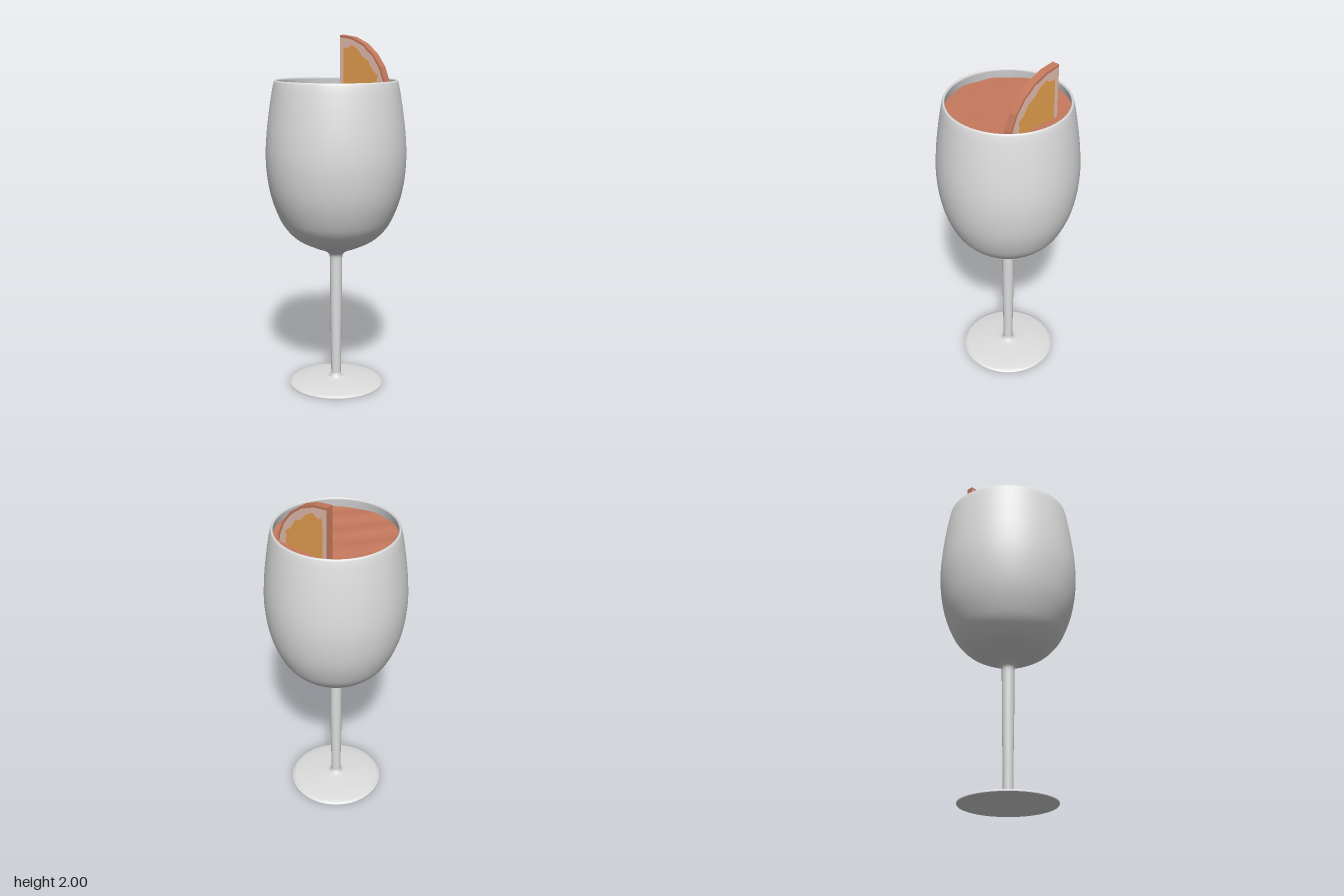
import * as THREE from 'three';

const mat = (name, color, extra = {}) => {
  const m = new THREE.MeshStandardMaterial({ color, ...extra });
  m.name = name;
  return m;
};
const v2 = (list) => list.map(([x, y]) => new THREE.Vector2(x, y));

export function createModel() {
  const root = new THREE.Group();
  root.name = 'wineGlassDrink';
  const glass = mat('glass', 0xdedede);
  const drink = mat('drinkAndRind', 0xc67a5e);
  const pith = mat('pith', 0xe4bcae);
  const flesh = mat('flesh', 0xe4a04e);

  const add = (parent, name, geometry, material) => {
    const mesh = new THREE.Mesh(geometry, material);
    mesh.name = name;
    parent.add(mesh);
    return mesh;
  };
  const spline = (list, n) => new THREE.SplineCurve(v2(list)).getPoints(n);

  // Foot: flat underside and gently domed top
  add(root, 'footUnderside', new THREE.CircleGeometry(0.27, 64).rotateX(Math.PI / 2), glass);
  add(root, 'footTop', new THREE.LatheGeometry(v2([
    [0.27, 0], [0.272, 0.008], [0.25, 0.016], [0.17, 0.026], [0.08, 0.031], [0.045, 0.034], [0.032, 0.042], [0.028, 0.06],
  ]), 64), glass);

  // Stem, widening slightly towards the bowl
  add(root, 'stem', new THREE.LatheGeometry(v2([
    [0.028, 0.06], [0.03, 0.25], [0.034, 0.5], [0.035, 0.74],
  ]), 32), glass);

  // Bowl: outer skin, rounded rim and inner wall
  const outer = spline([
    [0.035, 0.74], [0.04, 0.772], [0.07, 0.797], [0.13, 0.82], [0.22, 0.866], [0.285, 0.93], [0.325, 1.0], [0.362, 1.1],
    [0.384, 1.21], [0.393, 1.33], [0.387, 1.46], [0.37, 1.6], [0.352, 1.71], [0.342, 1.753],
  ], 56);
  const inner = spline([
    [0.328, 1.753], [0.338, 1.70], [0.358, 1.6], [0.378, 1.4], [0.37, 1.2], [0.31, 1.0], [0.2, 0.88], [0.001, 0.83],
  ], 32);
  const rim = v2([[0.339, 1.758], [0.335, 1.76], [0.331, 1.758]]);
  add(root, 'bowl', new THREE.LatheGeometry([...outer, ...rim, ...inner], 64), glass);

  // Drink surface with soft ripples
  const surface = new THREE.RingGeometry(0.0005, 0.338, 64, 14).rotateX(-Math.PI / 2);
  const p = surface.attributes.position;
  for (let i = 0; i < p.count; i++) {
    const x = p.getX(i), z = p.getZ(i);
    p.setY(i, 1.702 + 0.003 * Math.sin(17 * x + 9 * z + 1) * Math.cos(25 * z - 6 * x)
      + 0.002 * Math.sin(38 * z + 8 * x));
  }
  surface.computeVertexNormals();
  add(root, 'drinkSurface', surface, drink);

  // Orange slice: half disc standing on its edge in the drink
  const slice = new THREE.Group();
  slice.name = 'orangeSlice';
  slice.position.set(0.031, 1.656, -0.243);
  slice.rotation.y = -0.705;
  root.add(slice);
  const thick = 0.043;
  const halfDisc = (r, inset) => {
    const pts = [];
    for (let i = 0; i <= 12; i++) {
      const a = -Math.PI / 2 + (i * Math.PI) / 12;
      pts.push(new THREE.Vector2(inset + (r - inset) * Math.cos(a), r * Math.sin(a)));
    }
    return new THREE.Shape(pts);
  };
  const slab = (shape, depth) =>
    new THREE.ExtrudeGeometry(shape, { depth, bevelEnabled: false }).translate(0, 0, -depth / 2);
  add(slice, 'rind', slab(halfDisc(0.344, 0), thick), drink);

  // Uneven flesh patch, mirrored about the middle of the slice
  const upper = [[0.285, 0], [0.272, 0.1], [0.28, 0.125], [0.245, 0.15], [0.21, 0.205], [0.17, 0.225],
    [0.135, 0.265], [0.09, 0.29], [0.06, 0.27], [0.028, 0.275]];
  const lower = upper.slice(1).reverse().map(([x, y]) => [x, -y]);
  const fleshShape = new THREE.Shape(v2([...lower, ...upper]));
  for (const side of [-1, 1]) {
    add(slice, 'pithFace', slab(halfDisc(0.33, 0.002), 0.002), pith).position.z = side * (thick / 2 + 0.0005);
    add(slice, 'fleshFace', slab(fleshShape, 0.002), flesh).position.z = side * (thick / 2 + 0.0015);
  }
  return root;
}
